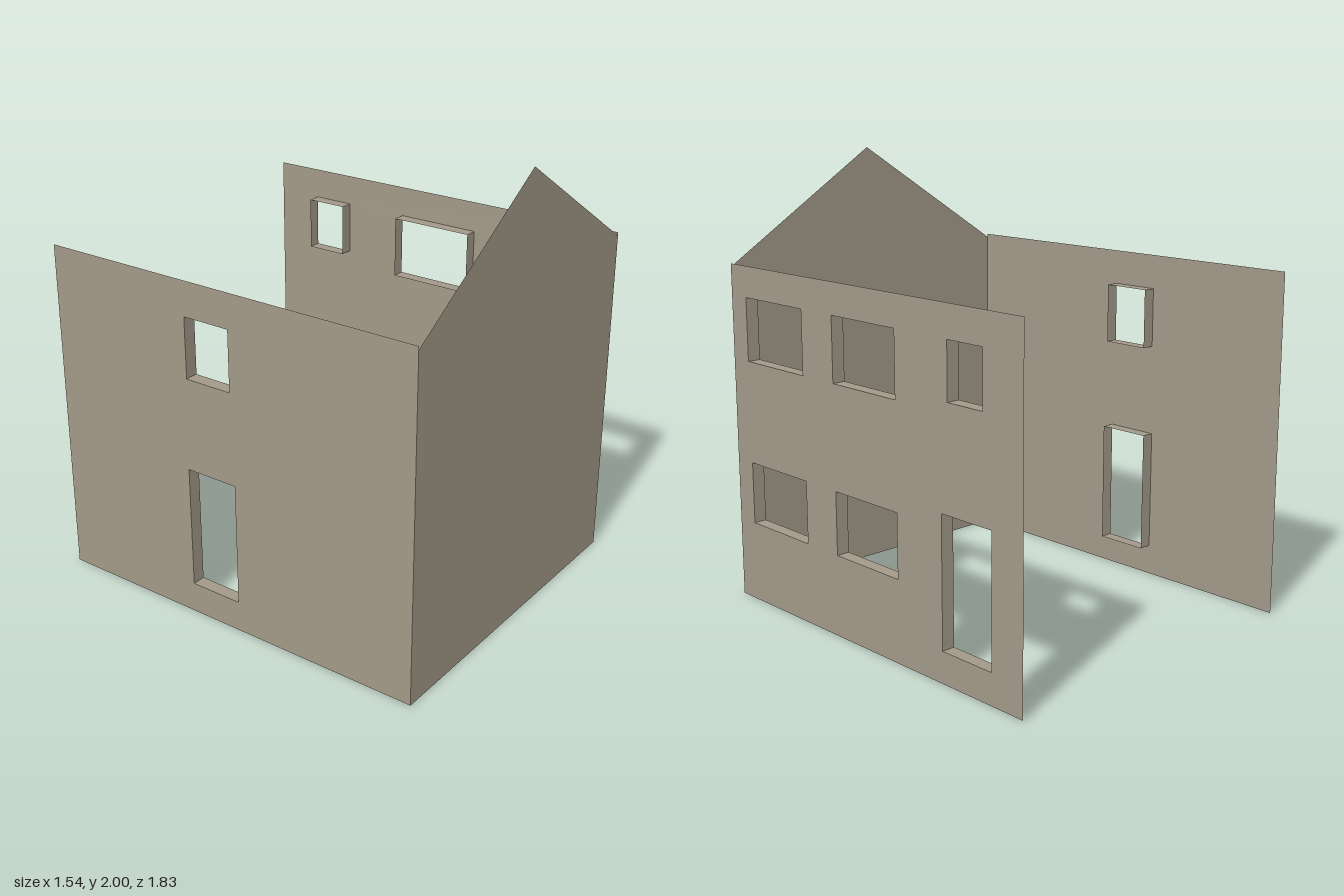
import * as THREE from 'three';

const plaster = new THREE.MeshStandardMaterial({ color: 0xa39a89, side: THREE.DoubleSide });
plaster.name = 'plaster';

const HALF_W = 0.772, HALF_D = 0.915, WALL_H = 1.53, REVEAL = 0.06;

// Openings as [z min, z max, y min, y max]
const leftOpenings = [
  [0.407, 0.808, 1.107, 1.391], [-0.197, 0.2, 1.107, 1.391], [-0.7, -0.505, 1.15, 1.391],
  [0.407, 0.808, 0.364, 0.645], [-0.197, 0.2, 0.364, 0.645], [-0.745, -0.465, 0.138, 0.704],
];
const rightOpenings = [
  [-0.195, 0.03, 1.105, 1.375], [-0.205, 0.043, 0.138, 0.69],
];

function addMesh(parent, name, geometry) {
  const mesh = new THREE.Mesh(geometry, plaster);
  mesh.name = name;
  parent.add(mesh);
}

const corners = ([z0, z1, y0, y1]) => [[z0, y0], [z1, y0], [z1, y1], [z0, y1]];
const points = (list) => list.map(([x, y]) => new THREE.Vector2(x, y));

// Four thin faces lining an opening, running inward from the wall
function revealGeometry(opening, x, inward) {
  const c = corners(opening);
  const inner = x + inward * REVEAL;
  const pos = [];
  for (let i = 0; i < 4; i++) {
    const [az, ay] = c[i], [bz, by] = c[(i + 1) % 4];
    const a = [x, ay, az], b = [x, by, bz], d = [inner, ay, az], e = [inner, by, bz];
    // Wind so the faces look into the opening on either wall
    const quad = inward < 0 ? [a, b, e, a, e, d] : [a, e, b, a, d, e];
    pos.push(...quad.flat());
  }
  const g = new THREE.BufferGeometry();
  g.setAttribute('position', new THREE.Float32BufferAttribute(pos, 3));
  g.computeVertexNormals();
  return g;
}

function sideWall(name, side, openings) {
  const group = new THREE.Group();
  group.name = name;
  const shape = new THREE.Shape(points(corners([-HALF_D, HALF_D, 0, WALL_H])));
  for (const o of openings) shape.holes.push(new THREE.Path(points(corners(o).reverse())));
  const panel = new THREE.ShapeGeometry(shape);
  panel.rotateY(-Math.PI / 2); // shape x becomes z
  panel.translate(side * HALF_W, 0, 0);
  addMesh(group, name + 'Panel', panel);
  openings.forEach((o, i) =>
    addMesh(group, name + 'Reveal' + (i + 1), revealGeometry(o, side * HALF_W, -side)));
  return group;
}

export function createModel() {
  const model = new THREE.Group();
  model.name = 'houseWalls';

  // Blank gabled front; the back and roof stay open
  const gable = new THREE.ShapeGeometry(new THREE.Shape(points([
    [-HALF_W, 0], [HALF_W, 0], [HALF_W, 1.515], [0, 2], [-HALF_W, 1.515],
  ])));
  gable.translate(0, 0, HALF_D);
  addMesh(model, 'gableWall', gable);

  // Side walls with windows and doors
  model.add(sideWall('leftWall', 1, leftOpenings));
  model.add(sideWall('rightWall', -1, rightOpenings));
  return model;
}
